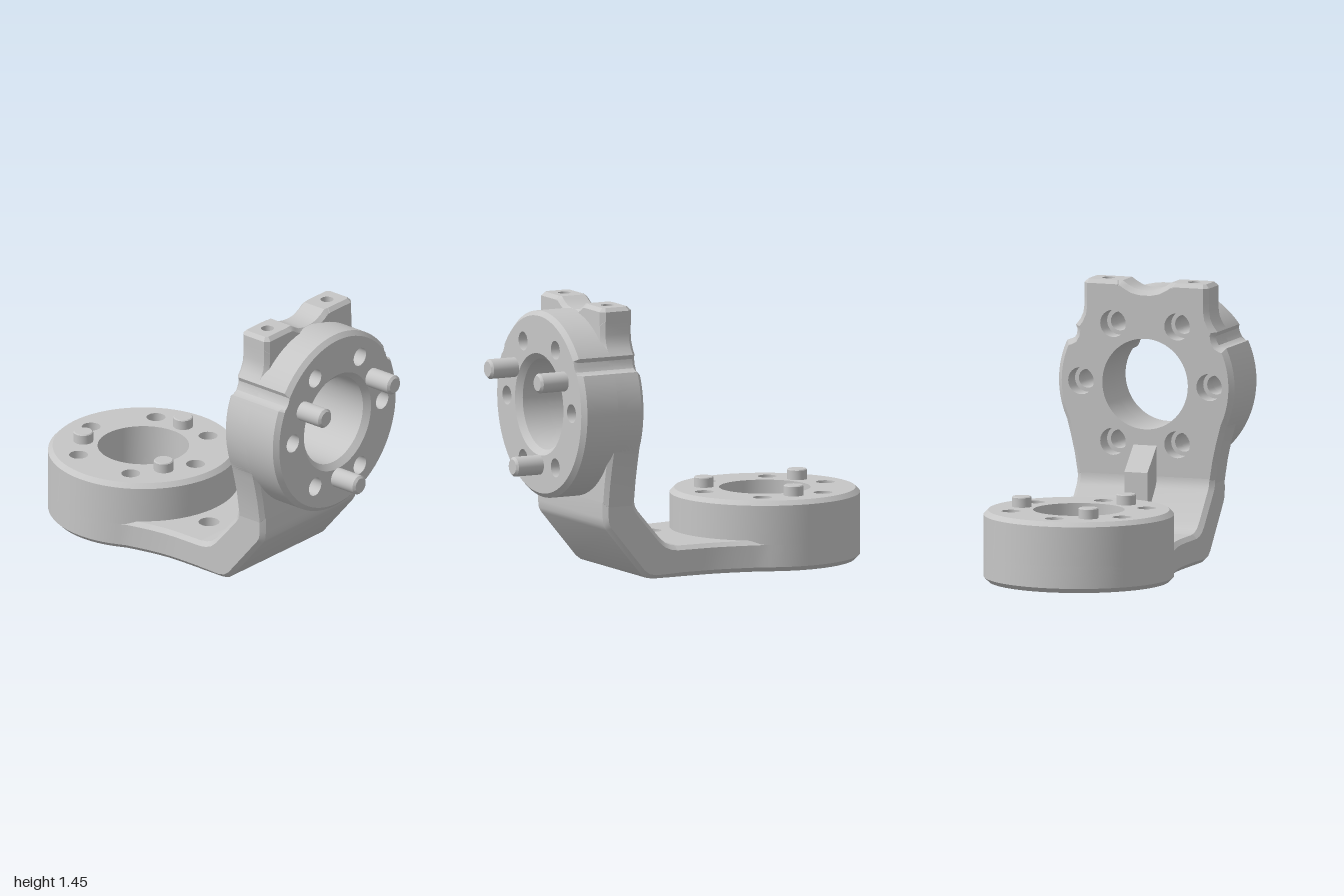
import * as THREE from 'three';
import { toCreasedNormals } from 'three/addons/utils/BufferGeometryUtils.js';

const grey = new THREE.MeshStandardMaterial({ color: 0xc6c6c6 });
grey.name = 'machined grey';

const rad = Math.PI / 180;
const polar = (r, deg) => [r * Math.cos(deg * rad), r * Math.sin(deg * rad)];

function arc(r, from, to, steps) {
  return Array.from({ length: steps + 1 }, (_, i) => polar(r, from + (to - from) * i / steps));
}

// Closes a right-hand outline (bottom to top) with its mirror image.
function mirrored(half) {
  const left = half.filter(p => Math.abs(p[0]) > 1e-6).reverse().map(([x, y]) => [-x, y]);
  return [...half, ...left];
}

// Moves a counter-clockwise outline inwards.
function inset(pts, d) {
  const n = pts.length;
  const normal = (a, b) => {
    const l = Math.hypot(b[0] - a[0], b[1] - a[1]);
    return [-(b[1] - a[1]) / l, (b[0] - a[0]) / l];
  };
  return pts.map((p, i) => {
    const m = normal(pts[(i + n - 1) % n], p), q = normal(p, pts[(i + 1) % n]);
    const k = d / (1 + m[0] * q[0] + m[1] * q[1]);
    return [p[0] + (m[0] + q[0]) * k, p[1] + (m[1] + q[1]) * k];
  });
}

// Pulls only the outermost points inwards, as if turned on a lathe; grooves stay straight.
function turned(pts, d) {
  const limit = Math.max(...pts.map(p => Math.hypot(...p))) - d;
  return pts.map(p => {
    const k = Math.min(1, limit / Math.hypot(...p));
    return [p[0] * k, p[1] * k];
  });
}

function finish(pos, crease = 0.5) {
  const g = new THREE.BufferGeometry();
  g.setAttribute('position', new THREE.Float32BufferAttribute(pos, 3));
  g.computeVertexNormals();
  return toCreasedNormals(g, crease);
}

// Joins two closed loops of 3D points.
function band(pos, a, b) {
  a.forEach((p, i) => {
    const j = (i + 1) % a.length;
    pos.push(...p, ...a[j], ...b[j], ...p, ...b[j], ...b[i]);
  });
}

// Slab from w0 to w1 with edge chamfers c0, c1; holes are { x, y, profile: [[radius, w], ...] }.
function slab(outline, w0, w1, c0, c1, holes, shrink = inset) {
  const pos = [];
  const at = (pts, w) => pts.map(p => [p[0], p[1], w]);
  const low = shrink(outline, c0), high = shrink(outline, c1);
  if (c0) band(pos, at(low, w0), at(outline, w0 + c0));
  band(pos, at(outline, w0 + c0), at(outline, w1 - c1));
  band(pos, at(outline, w1 - c1), at(high, w1));

  const circle = (h, r) => {
    const n = h.profile[0][0] > 0.2 ? 64 : 24;
    return Array.from({ length: n }, (_, i) => {
      const [x, y] = polar(r, -360 * i / n);
      return [h.x + x, h.y + y];
    });
  };
  for (const h of holes) {
    for (let i = 1; i < h.profile.length; i++) {
      const [r, w] = h.profile[i - 1], [s, v] = h.profile[i];
      band(pos, at(circle(h, r), w), at(circle(h, s), v));
    }
  }
  const cap = (edge, w, flip) => {
    const open = [];
    for (const h of holes) {
      const end = flip ? h.profile[0] : h.profile.at(-1);
      if (Math.abs(end[1] - w) < 1e-6) open.push(circle(h, end[0]));
    }
    const vec = l => l.map(p => new THREE.Vector2(...p));
    const all = [edge, ...open].flat();
    for (const f of THREE.ShapeUtils.triangulateShape(vec(edge), open.map(vec))) {
      if (flip) f.reverse();
      for (const i of f) pos.push(...all[i], w);
    }
  };
  cap(low, w0, true);
  cap(high, w1, false);
  return finish(pos);
}

function add(parent, name, geometry) {
  const m = new THREE.Mesh(geometry, grey);
  m.name = name;
  parent.add(m);
  return m;
}

const LIP = 0.025;

// Ring with counterbored bolt holes and pins, plus the plate that carries it.
function flange(name, o) {
  const g = new THREE.Group();
  g.name = name;
  const bolts = (from, to) => Array.from({ length: 6 }, (_, i) => {
    const [x, y] = polar(0.36, o.boltAngle + i * 60);
    return { x, y, profile: [[0.072, from], [0.072, 0.1], [0.05, 0.1], [0.05, to]] };
  });
  const bore = profile => ({ x: 0, y: 0, profile });
  const r = 0.24;
  const plateBore = o.chamferFront ? [[r, 0], [r, o.t]] : [[0.27, 0], [r, LIP], [r, o.t]];
  const ringBore = o.chamferFront ? [[r, LIP], [r, o.h - 0.03], [0.27, o.h]] : [[r, LIP], [r, o.h]];
  add(g, 'mountingPlate', slab(o.plate, 0, o.t, LIP, 0.022, [...bolts(0, o.t), bore(plateBore), ...o.extra]));
  add(g, 'ring', slab(o.ring, LIP, o.h, 0, 0.024, [...bolts(LIP, o.h), bore(ringBore)], turned));

  const tip = o.pinTop, c = o.pinChamfer;
  const profile = [[0.052, o.h - 0.03], [0.052, tip - c], [0.052 - c, tip], [0, tip]];
  const pin = toCreasedNormals(new THREE.LatheGeometry(profile.map(p => new THREE.Vector2(...p)), 28), 0.5);
  pin.rotateX(Math.PI / 2);
  for (let i = 0; i < 3; i++) {
    const [x, y] = polar(0.32, o.pinAngle + i * 120);
    add(g, 'locatingPin', pin).position.set(x, y, 0);
  }
  return g;
}

export function createModel() {
  const model = new THREE.Group();
  model.name = 'angleBracket';
  const neck = [[0.385, -0.56], [0.389, -0.48], [0.403, -0.39], [0.423, -0.3], [0.436, -0.25]];

  // Horizontal flange with the floor of the arm
  const blind = x => ({ x, y: -0.67, profile: [[0.03, 0], [0.03, 0.09], [0.001, 0.105]] });
  const base = flange('baseFlange', {
    t: 0.165, h: 0.375, pinTop: 0.43, pinChamfer: 0.005, boltAngle: 30, pinAngle: 0,
    plate: mirrored([[0.385, -0.75], ...neck, ...arc(0.5, -25, 90, 23)]),
    ring: mirrored(arc(0.5, -90, 90, 36)),
    extra: [{ x: -0.16, y: -0.59, profile: [[0.055, 0], [0.055, 0.165]] }, blind(-0.27), blind(0.27)],
  });
  base.rotation.x = -Math.PI / 2;
  base.position.z = -0.5;
  model.add(base);

  // Upright flange: side grooves in ring and plate, tabs on the plate
  const R = 0.493;
  const groove = [[0.424, 0.212], [0.404, 0.223], [0.392, 0.245], [0.388, 0.27], [0.397, 0.292]];
  const upright = flange('uprightFlange', {
    t: 0.185, h: 0.37, pinTop: 0.53, pinChamfer: 0.012, boltAngle: 0, pinAngle: 30, chamferFront: true,
    plate: mirrored([[0.385, -0.51], ...neck.slice(1), ...arc(R, -25, 25, 10), ...groove,
      [0.372, 0.325], [0.356, 0.36], [0.35, 0.4], [0.35, 0.47], [0.18, 0.47], [0.18, 0.54], [0.135, 0.54],
      [0.105, 0.52], [0.07, 0.502], [0.03, 0.494], [0, 0.493]]),
    ring: mirrored([...arc(R, -90, 25, 23), ...groove, ...arc(R, 37, 90, 12)]),
    extra: [],
  });
  upright.position.set(0, 0.91, 0.47);
  model.add(upright);

  // Tab tops with countersunk blind holes
  for (const s of [-1, 1]) {
    const c = 0.024, a = 0.11, b = 0.0925;
    const block = [[-a + c, -b], [a - c, -b], [a, -b + c], [a, b - c], [a - c, b], [-a + c, b], [-a, b - c], [-a, -b + c]];
    const hole = { x: 0, y: 0, profile: [[0.001, 0.025], [0.034, 0.06], [0.034, 0.1]] };
    const tab = add(model, s > 0 ? 'leftTab' : 'rightTab', slab(block, 0, 0.1, 0, 0.02, [hole]));
    tab.rotation.x = -Math.PI / 2;
    tab.position.set(s * 0.24, 1.35, 0.5625);
  }

  // Bent arm: chamfered sections at stations [outer z, outer y, inner z, inner y]
  const stations = [
    [0.21, 0, 0.21, 0.165], [0.36, 0, 0.25, 0.17], [0.4, 0.008, 0.285, 0.185], [0.43, 0.03, 0.32, 0.215],
    [0.635, 0.275, 0.448, 0.365], [0.65, 0.3, 0.463, 0.388], [0.655, 0.34, 0.47, 0.42], [0.655, 0.46, 0.47, 0.46],
  ];
  const half = 0.385, c = 0.024;
  const loops = stations.map(([oz, oy, iz, iy]) => {
    const k = c / Math.hypot(iz - oz, iy - oy);
    const right = [[half - c, 0], [half, k], [half, 1 - k], [half - c, 1]];
    return mirrored(right).map(([x, t]) => [x, oy + (iy - oy) * t, oz + (iz - oz) * t]);
  });
  const pos = [];
  for (let i = 1; i < loops.length; i++) band(pos, loops[i - 1], loops[i]);
  add(model, 'bentArm', finish(pos, 0.6));

  // Stiffening rib behind the bend
  const rib = new THREE.Shape([[0.335, 0.2], [0.5, 0.34], [0.5, 0.615], [0.335, 0.46]].map(p => new THREE.Vector2(...p)));
  const ribGeometry = new THREE.ExtrudeGeometry(rib, { depth: 0.13, bevelEnabled: false });
  ribGeometry.rotateY(-Math.PI / 2).translate(0.065, 0, 0);
  add(model, 'rib', ribGeometry);

  return model;
}
